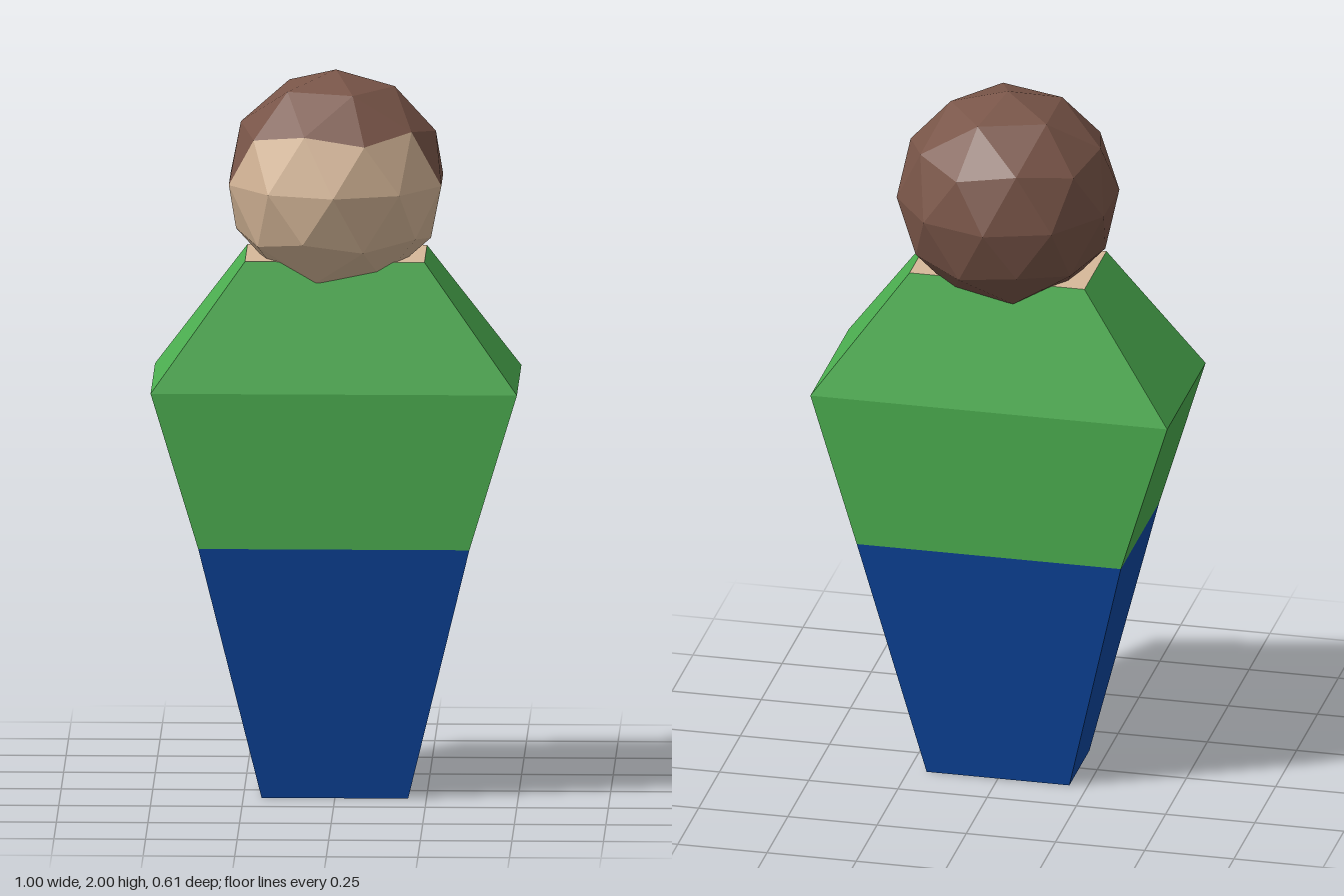
import * as THREE from 'three';

const mat = (name, color) => {
  const m = new THREE.MeshStandardMaterial({ color });
  m.name = name;
  return m;
};

export function createModel() {
  const green = mat('shirt green', 0x4caf50);
  const blue = mat('trouser blue', 0x0d47a1);
  const brown = mat('hair brown', 0x795548);
  const skin = mat('skin', 0xd7b899);

  const model = new THREE.Group();
  model.name = 'figure';

  const add = (name, geometry, material) => {
    const mesh = new THREE.Mesh(geometry, material);
    mesh.name = name;
    model.add(mesh);
  };

  // Four-sided tapered block between two sections [y, half width, half depth]
  const taper = ([y0, w0, d0], [y1, w1, d1]) => {
    const g = new THREE.BoxGeometry(2, 2, 2);
    const p = g.attributes.position;
    for (let i = 0; i < p.count; i++) {
      const top = p.getY(i) > 0;
      p.setXYZ(i, p.getX(i) * (top ? w1 : w0), top ? y1 : y0, p.getZ(i) * (top ? d1 : d0));
    }
    g.computeVertexNormals();
    return g;
  };

  // Body sections from the feet to the neck opening
  const feet = [0, 0.2, 0.12];
  const waist = [0.71, 0.37, 0.23];
  const chest = [1.14, 0.5, 0.23];
  const neck = [1.49, 0.245, 0.132];
  add('legs', taper(feet, waist), blue);
  add('torso', taper(waist, chest), green);
  // The top face of the shoulders is bare skin
  add('shoulders', taper(chest, neck), [green, green, skin, green, green, green]);

  // Faceted head, turned so that one corner points straight up
  const ball = new THREE.IcosahedronGeometry(1, 1);
  ball.rotateZ(-Math.atan(2 / (1 + Math.sqrt(5))));
  const p = ball.attributes.position;
  const face = [];
  const hair = [];
  for (let i = 0; i < p.count; i += 3) {
    const tri = [0, 1, 2].map((k) => new THREE.Vector3().fromBufferAttribute(p, i + k));
    const y = (tri[0].y + tri[1].y + tri[2].y) / 3;
    const z = (tri[0].z + tri[1].z + tri[2].z) / 3;
    // The face lies below the hairline and in front of a slanted side line
    const isFace = y < 0.45 && z > 0.15 + 0.5 * y;
    for (const v of tri) (isFace ? face : hair).push(v.x, v.y, v.z);
  }
  const shell = (points) => {
    const g = new THREE.BufferGeometry();
    g.setAttribute('position', new THREE.Float32BufferAttribute(points, 3));
    g.scale(0.305, 0.305, 0.305);
    g.translate(0, 1.695, 0);
    g.computeVertexNormals();
    return g;
  };
  add('face', shell(face), skin);
  add('hair', shell(hair), brown);

  return model;
}
